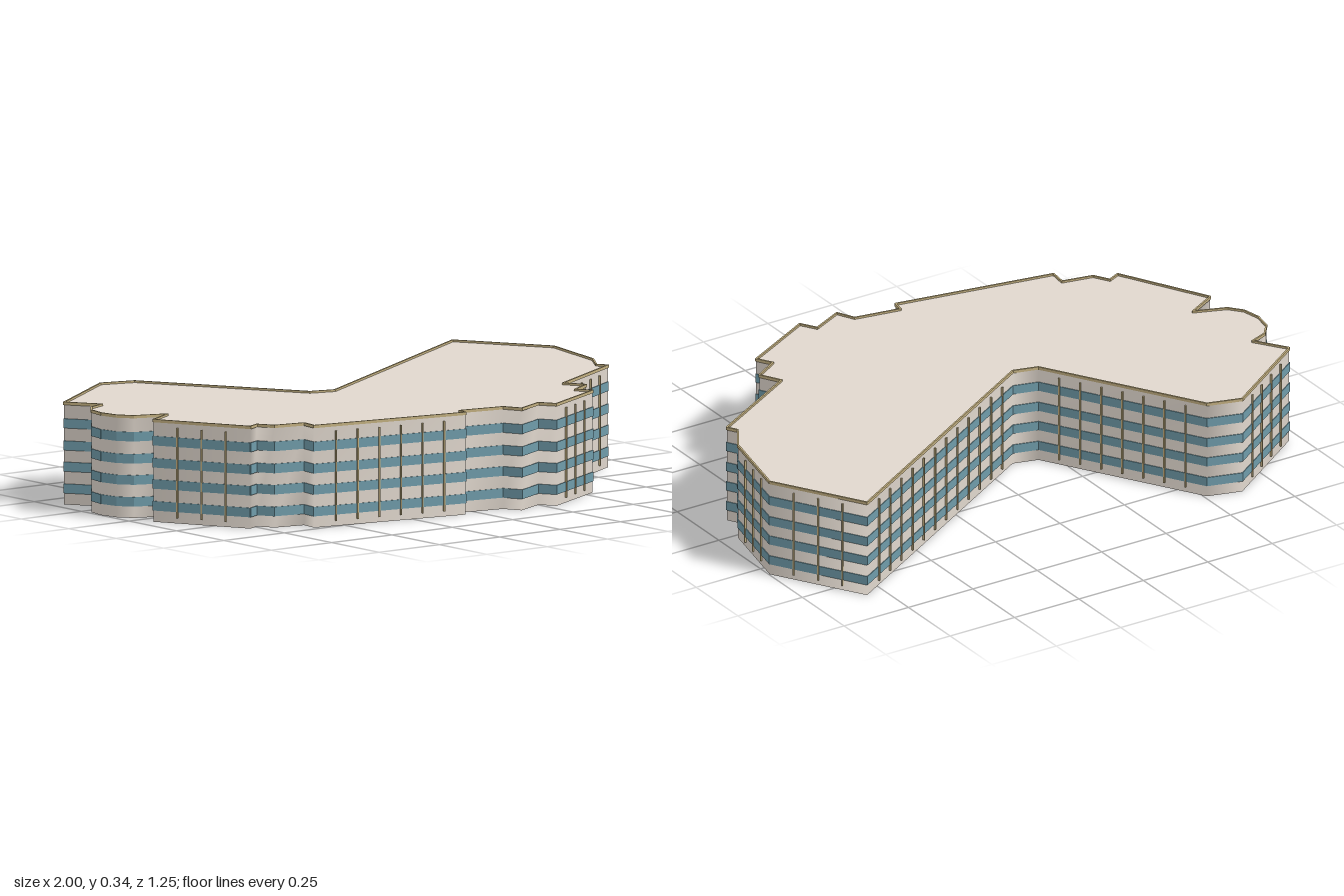
import * as THREE from 'three';

// Footprint corners as [x, z], walked back -> right -> front -> left
const OUTLINE = [
  [-0.626, -0.626], [-0.51, -0.593], [-0.195, -0.07], [-0.11, -0.047], [0.814, -0.601],
  [0.997, -0.3], [0.938, -0.02], [0.878, 0.075], [0.898, 0.11], [0.56, 0.305],
  [0.6, 0.375], [0.513, 0.428], [0.544, 0.48], [0.285, 0.619], [0.252, 0.565],
  [0.14, 0.621], [0.11, 0.56], [-0.05, 0.533], [-0.057, 0.574], [-0.609, 0.478],
  [-0.602, 0.417], [-0.709, 0.396], [-0.74, 0.343], [-0.784, 0.364], [-0.946, 0.06],
  [-0.84, 0.0], [-0.948, -0.04], [-0.984, -0.085], [-0.997, -0.15], [-0.986, -0.215],
  [-0.948, -0.263], [-0.885, -0.288], [-0.958, -0.395],
];
const ROOF = 0.332;
const BANDS = [0.053, 0.125, 0.195, 0.268]; // window heights, one per storey
const BAY = 0.08;

const mat = (name, color) => {
  const m = new THREE.MeshStandardMaterial({ color });
  m.name = name;
  return m;
};

// Vertical skin around the footprint, with normals blended at the corners
function skin(y0, y1) {
  const pos = [], index = [], n = OUTLINE.length;
  OUTLINE.forEach(([x, z], i) => {
    pos.push(x, y0, z, x, y1, z);
    const a = 2 * i, b = 2 * ((i + 1) % n);
    index.push(a, a + 1, b, b, a + 1, b + 1);
  });
  const g = new THREE.BufferGeometry();
  g.setAttribute('position', new THREE.Float32BufferAttribute(pos, 3));
  g.setIndex(index);
  g.computeVertexNormals();
  return g;
}

// Flat footprint face, looking up or down
function plate(y, up) {
  const s = up ? -1 : 1;
  const shape = new THREE.Shape(OUTLINE.map(([x, z]) => new THREE.Vector2(x, s * z)));
  return new THREE.ShapeGeometry(shape).rotateX(s * Math.PI / 2).translate(0, y, 0);
}

export function createModel() {
  const stone = mat('warm stone', 0xe0d7cd);
  const glass = mat('blue glass', 0x6f9ba9);
  const gold = mat('pale gold trim', 0xc2af80);

  const model = new THREE.Group();
  model.name = 'officeBuilding';
  const add = (name, geometry, material, parent = model) => {
    const m = new THREE.Mesh(geometry, material);
    m.name = name;
    parent.add(m);
    return m;
  };

  add('walls', skin(0, ROOF), stone);
  add('roof', plate(ROOF, true), stone);
  add('underside', plate(0, false), stone);

  // One facade per footprint edge: local x runs along it, local -z faces out
  OUTLINE.forEach(([x0, z0], i) => {
    const [x1, z1] = OUTLINE[(i + 1) % OUTLINE.length];
    const len = Math.hypot(x1 - x0, z1 - z0);
    const facade = new THREE.Group();
    facade.name = 'facade';
    facade.position.set((x0 + x1) / 2, 0, (z0 + z1) / 2);
    facade.rotation.y = Math.atan2(z0 - z1, x1 - x0);
    model.add(facade);

    // Roof edge coping
    add('coping', new THREE.BoxGeometry(len + 0.003, 0.01, 0.006), gold, facade).position.y = 0.334;

    // Ribbon windows
    for (const y of BANDS)
      add('windowBand', new THREE.BoxGeometry(len + 0.002, 0.031, 0.005), glass, facade).position.y = y;

    // Vertical fins between bays on the longer facades
    if (len < 0.2) return;
    const bays = Math.round(len / BAY);
    for (let k = 1; k < bays; k++)
      add('fin', new THREE.BoxGeometry(0.005, 0.297, 0.012), gold, facade)
        .position.set((k / bays - 0.5) * len, 0.166, 0);
  });
  return model;
}
